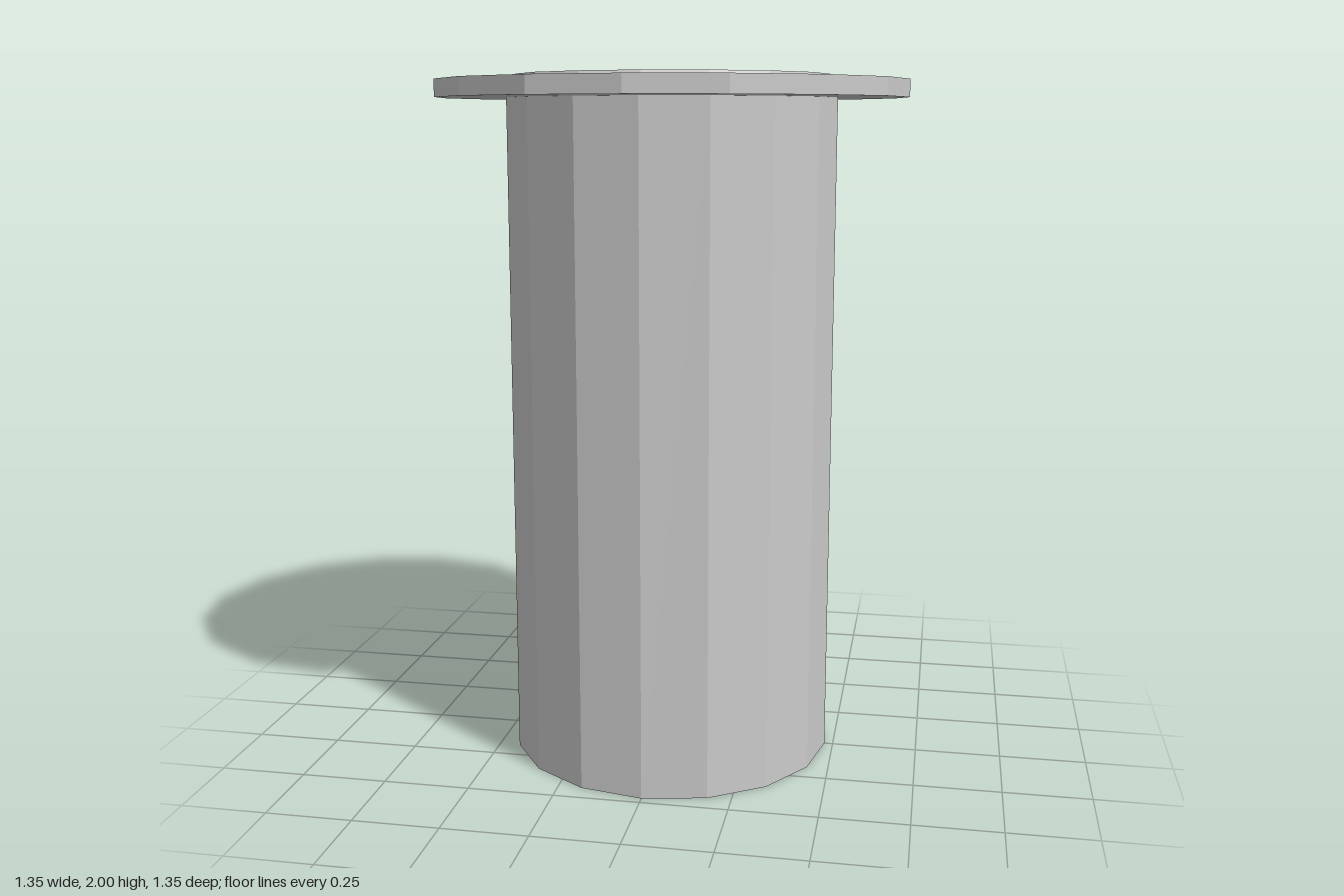
import * as THREE from 'three';

const SIDES = 16;

// Faceted cylinder spanning y0..y1
function disc(name, radius, y0, y1) {
  const geometry = new THREE.CylinderGeometry(radius, radius, y1 - y0, SIDES);
  geometry.translate(0, (y0 + y1) / 2, 0);
  const material = new THREE.MeshStandardMaterial({ color: 0xcccccc, flatShading: true });
  const mesh = new THREE.Mesh(geometry, material);
  mesh.name = name;
  return mesh;
}

export function createModel() {
  const model = new THREE.Group();
  model.name = 'flangedCylinder';

  // Main barrel and the wide collar around its top
  model.add(disc('barrel', 0.475, 0, 1.935));
  model.add(disc('flange', 0.675, 1.935, 1.985));

  // Shallow lid whose top face leans slightly to the back
  const lid = disc('lid', 0.45, 1.985, 2);
  const position = lid.geometry.attributes.position;
  for (let i = 0; i < position.count; i++) {
    if (position.getY(i) > 1.99) position.setZ(i, position.getZ(i) - 0.009);
  }
  lid.geometry.computeVertexNormals();
  model.add(lid);

  return model;
}
